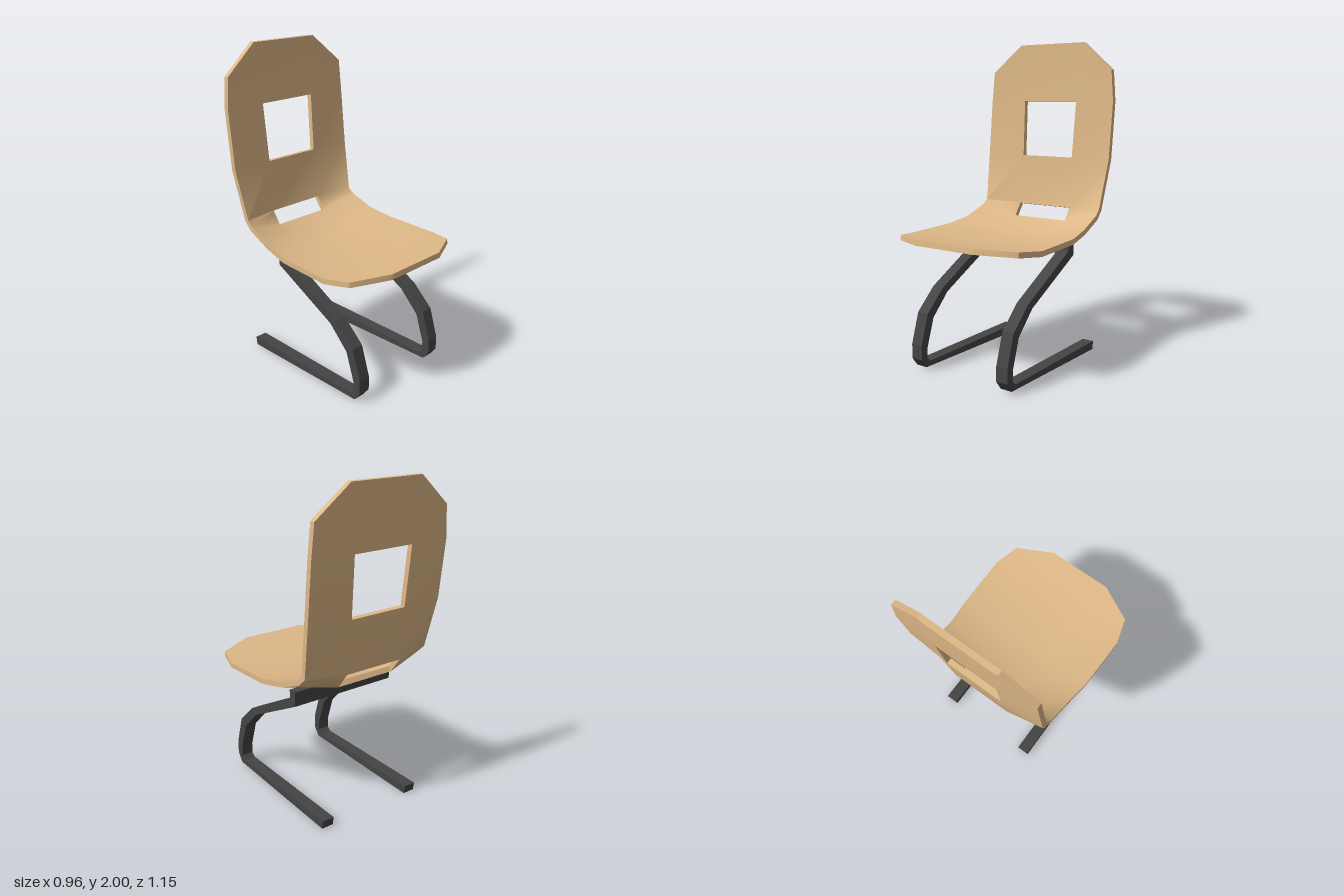
import * as THREE from 'three';
import { toCreasedNormals } from 'three/addons/utils/BufferGeometryUtils.js';

const THICKNESS = 0.033;

// Shell stations, front lip to top of back:
// [z, y of the underside centre, half width, half width of flat middle, lift of side edges]
const STATIONS = [
  [0.572, 0.805, 0.21, 0.195, 0],
  [0.46, 0.79, 0.435, 0.195, 0.004],
  [0.3, 0.77, 0.482, 0.195, 0.01],
  [-0.05, 0.762, 0.475, 0.195, 0.03],
  [-0.23, 0.772, 0.455, 0.195, 0.052],
  [-0.425, 0.83, 0.445, 0.195, 0.07],
  [-0.498, 0.93, 0.442, 0.195, 0.055],
  [-0.528, 1.26, 0.468, 0.19, 0.015],
  [-0.558, 1.625, 0.47, 0.2, 0.008],
  [-0.569, 1.82, 0.453, 0.2, 0.015],
  [-0.575, 2.0, 0.24, 0.2, 0.002],
];
const OPENINGS = [5, 7]; // rows whose middle cell is cut out: lumbar slot and window

function shellPoint(i, j, upper) {
  const [z, y, half, flat, lift] = STATIONS[i];
  const a = STATIONS[Math.max(i - 1, 0)];
  const b = STATIONS[Math.min(i + 1, STATIONS.length - 1)];
  const n = new THREE.Vector2(b[1] - a[1], a[0] - b[0]).normalize(); // (z, y) normal
  const d = (j === 0 || j === 3 ? lift : 0) + (upper ? THICKNESS : 0);
  const top = i === STATIONS.length - 1;
  return [[-half, -flat, flat, half][j], top ? y : y + n.y * d, z + n.x * d];
}

function shellGeometry() {
  const rows = STATIONS.length - 1;
  const pos = [];
  const quad = (a, b, c, d) => pos.push(...a, ...b, ...c, ...a, ...c, ...d);
  const solid = (i, j) =>
    i >= 0 && i < rows && j >= 0 && j < 3 && !(j === 1 && OPENINGS.includes(i));
  for (let i = 0; i < rows; i++) {
    for (let j = 0; j < 3; j++) {
      if (!solid(i, j)) continue;
      const corners = [[i, j], [i, j + 1], [i + 1, j + 1], [i + 1, j]];
      const up = corners.map(([r, c]) => shellPoint(r, c, true));
      const low = corners.map(([r, c]) => shellPoint(r, c, false));
      quad(...up);
      quad(low[3], low[2], low[1], low[0]);
      // rim walls wherever the neighbouring cell is missing
      [[i - 1, j], [i, j + 1], [i + 1, j], [i, j - 1]].forEach(([r, c], k) => {
        const m = (k + 1) % 4;
        if (!solid(r, c)) quad(low[k], low[m], up[m], up[k]);
      });
    }
  }
  const geo = new THREE.BufferGeometry();
  geo.setAttribute('position', new THREE.Float32BufferAttribute(pos, 3));
  return toCreasedNormals(geo, 0.68);
}

// Extrudes a (z, y) side outline along x from x0 to x1
function sideExtrude(points, x0, x1) {
  const shape = new THREE.Shape(points.map(([z, y]) => new THREE.Vector2(z, y)));
  return new THREE.ExtrudeGeometry(shape, { depth: x1 - x0, bevelEnabled: false })
    .rotateY(-Math.PI / 2)
    .translate(x1, 0, 0);
}

export function createModel() {
  const group = new THREE.Group();
  const wood = new THREE.MeshStandardMaterial({ color: 0xdeb887 });
  const metal = new THREE.MeshStandardMaterial({ color: 0x444444 });
  const add = (name, geo, mat) => {
    const mesh = new THREE.Mesh(geo, mat);
    mesh.name = name;
    group.add(mesh);
  };

  // One-piece bent seat and backrest
  add('seatShell', shellGeometry(), wood);

  // Cantilever legs: outer edge down to the floor, inner edge back up
  const leg = [
    [-0.18, 0.718], [0.262, 0.48], [0.404, 0.347], [0.462, 0.16], [0.462, 0.07],
    [0.42, 0.015], [-0.5, 0], [-0.508, 0.053], [0.383, 0.046], [0.41, 0.07],
    [0.41, 0.135], [0.352, 0.312], [0.218, 0.448], [-0.235, 0.682],
  ];
  add('rightLeg', sideExtrude(leg, -0.352, -0.274), metal);
  add('leftLeg', sideExtrude(leg, 0.288, 0.365), metal);

  // Crossbar under the seat with a sloping underside
  const bar = [[-0.18, 0.772], [-0.18, 0.718], [-0.235, 0.682], [-0.235, 0.772]];
  add('crossbar', sideExtrude(bar, -0.352, 0.365), metal);

  return group;
}
